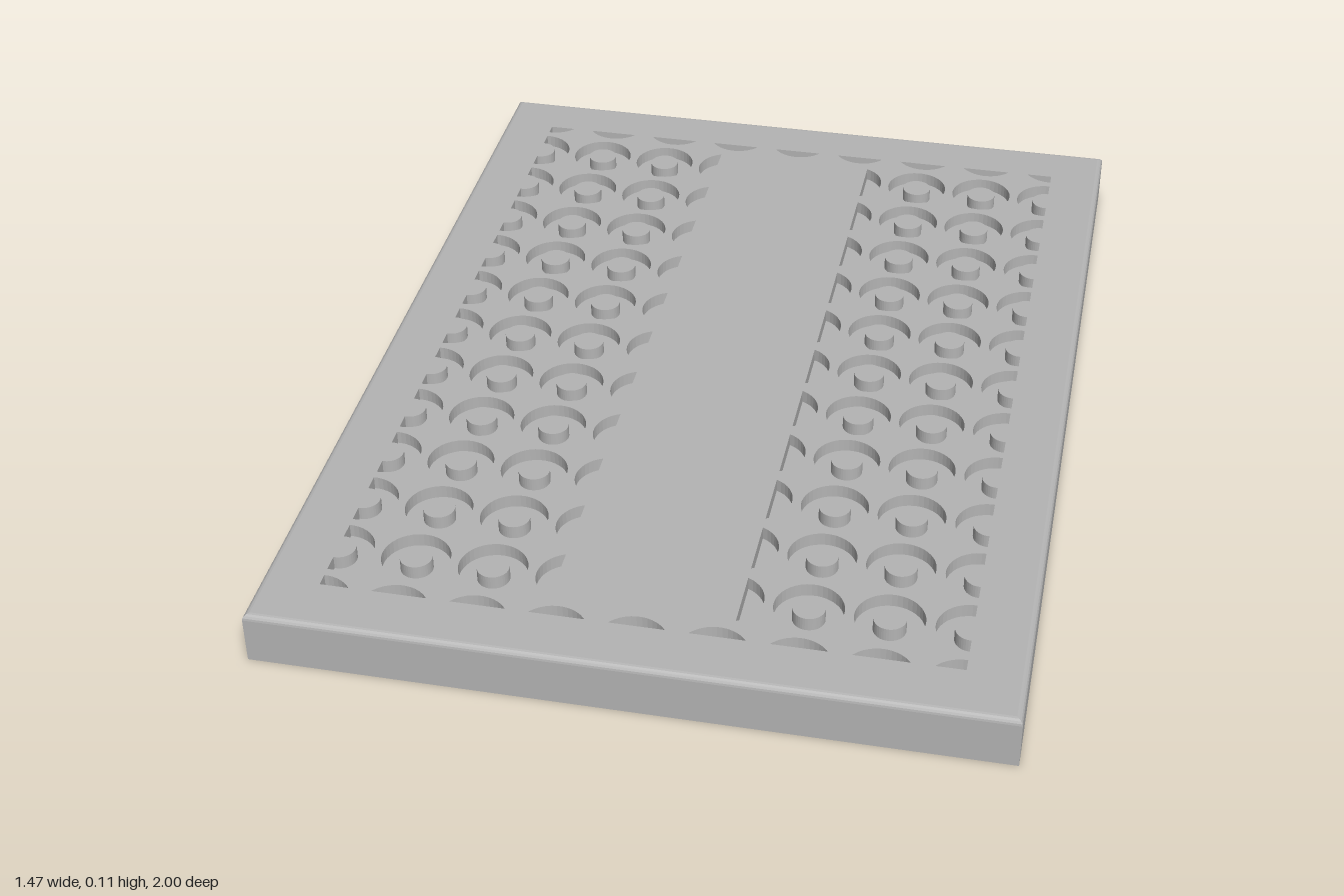
import * as THREE from 'three';
import { mergeGeometries } from 'three/addons/utils/BufferGeometryUtils.js';

const W = 0.735, L = 1, H = 0.11;          // half width, half length, height
const CEIL = 0.07, FLOOR = 0.082;          // inner ceiling, groove floor
const PITCH = 0.1543, R_OUT = 0.068, R_IN = 0.032;

// Circle outline as points
function circle(cx, cy, r, n = 40) {
  return Array.from({ length: n }, (_, i) => {
    const a = ((i + 0.5) / n) * Math.PI * 2;
    return new THREE.Vector2(cx + r * Math.cos(a), cy + r * Math.sin(a));
  });
}

// Keep the part of a convex outline where sign * p[axis] <= limit
function clip(pts, axis, sign, limit) {
  const out = [];
  pts.forEach((p, i) => {
    const q = pts[(i + 1) % pts.length];
    const dp = limit - sign * p[axis], dq = limit - sign * q[axis];
    if (dp >= 0) out.push(p);
    if (dp * dq < 0) out.push(p.clone().lerp(q, dp / (dp - dq)));
  });
  return out;
}

function clipBox(pts, x0, x1, y0, y1) {
  pts = clip(pts, 'x', 1, x1);
  pts = clip(pts, 'x', -1, -x0);
  pts = clip(pts, 'y', 1, y1);
  return clip(pts, 'y', -1, -y0);
}

// Extrude an outline upward from y0 to y1
function slab(shape, y0, y1) {
  const g = new THREE.ExtrudeGeometry(shape, { depth: y1 - y0, bevelEnabled: false });
  g.rotateX(-Math.PI / 2);
  g.translate(0, y0, 0);
  return g;
}

// Rectangular rings joined along a profile of [inset, y]
function rectLoft(profile) {
  const pos = [];
  const corner = ([inset, y], k) => {
    const sx = k % 4 === 1 || k % 4 === 2 ? 1 : -1, sz = k % 4 >= 2 ? 1 : -1;
    return [sx * (W - inset), y, sz * (L - inset)];
  };
  for (let i = 0; i < profile.length - 1; i++) {
    for (let k = 0; k < 4; k++) {
      const a0 = corner(profile[i], k), a1 = corner(profile[i], k + 1);
      const b0 = corner(profile[i + 1], k), b1 = corner(profile[i + 1], k + 1);
      pos.push(...a0, ...b0, ...b1, ...a0, ...b1, ...a1);
    }
  }
  const g = new THREE.BufferGeometry();
  g.setAttribute('position', new THREE.Float32BufferAttribute(pos, 3));
  g.computeVertexNormals();
  return g;
}

export function createModel() {
  const model = new THREE.Group();
  model.name = 'cover';
  const grey = new THREE.MeshStandardMaterial({ color: 0xb4b4b4 });
  grey.name = 'grey';
  const add = (name, geometry) => {
    const mesh = new THREE.Mesh(geometry, grey);
    mesh.name = name;
    model.add(mesh);
    return mesh;
  };

  // Side walls with a softly rounded top edge
  const b = 0.012;
  const profile = [[0.02, CEIL], [0.02, 0], [0, 0]];
  for (let i = 0; i <= 4; i++) {
    const a = (i / 4) * Math.PI / 2;
    profile.push([b * (1 - Math.cos(a)), H - b + b * Math.sin(a)]);
  }
  add('sideWalls', rectLoft(profile));

  // Slab forming the ceiling below and the groove floor above
  const floor = new THREE.BoxGeometry(2 * (W - 0.014), FLOOR - CEIL, 2 * (L - 0.014));
  floor.translate(0, (FLOOR + CEIL) / 2, 0);
  add('innerPlate', floor);

  // Ring grooves on a square grid, trimmed to two bands
  const wells = [], posts = [];
  for (const side of [-1, 1]) {
    const x0 = side > 0 ? 0.18 : -0.62, x1 = side > 0 ? 0.62 : -0.18;
    for (let c = 1; c <= 4; c++) {
      for (let r = -5; r <= 5; r++) {
        const trim = (radius) =>
          clipBox(circle(side * c * PITCH, r * PITCH, radius), x0, x1, -0.885, 0.885);
        wells.push(trim(R_OUT));
        if (c > 1) posts.push(trim(R_IN));
      }
    }
  }
  // Crescents along both ends
  for (const end of [-1, 1]) {
    for (let c = -4; c <= 4; c++) {
      wells.push(clipBox(circle(c * PITCH, end * 6 * PITCH, R_OUT), -0.62, 0.62, -0.885, 0.885));
    }
  }
  const w = W - b, l = L - b;
  const top = new THREE.Shape([[-w, -l], [w, -l], [w, l], [-w, l]].map((p) => new THREE.Vector2(...p)));
  wells.forEach((pts) => top.holes.push(new THREE.Path(pts)));
  add('topPlate', slab(top, FLOOR, H));
  add('groovePosts', mergeGeometries(posts.map((pts) => slab(new THREE.Shape(pts), FLOOR, H))));

  // Honeycomb ribs under the centre: rows of two and one
  const R = 0.119, ribs = [];
  const hexagon = (cx, cy, r) => Array.from({ length: 6 }, (_, k) => {
    const a = Math.PI / 6 + (k * Math.PI) / 3;
    return new THREE.Vector2(cx + r * Math.cos(a), cy + r * Math.sin(a));
  });
  for (let row = -4; row <= 4; row++) {
    const half = (R * Math.sqrt(3)) / 2;
    for (const x of row % 2 === 0 ? [-half, half] : [0]) {
      const shape = new THREE.Shape(hexagon(x, row * R * 1.5, R));
      shape.holes.push(new THREE.Path(hexagon(x, row * R * 1.5, R - 0.01)));
      ribs.push(slab(shape, CEIL - 0.012, CEIL + 0.002));
    }
  }
  add('honeycombRibs', mergeGeometries(ribs));

  // Small snap bumps on the inner long walls
  for (const side of [-1, 1]) {
    for (const z of [-0.7, 0, 0.7]) {
      const bump = add('snapBump', new THREE.SphereGeometry(0.013, 16, 10));
      bump.scale.x = 0.6;
      bump.position.set(side * (W - 0.02), 0.03, z);
    }
  }
  return model;
}
